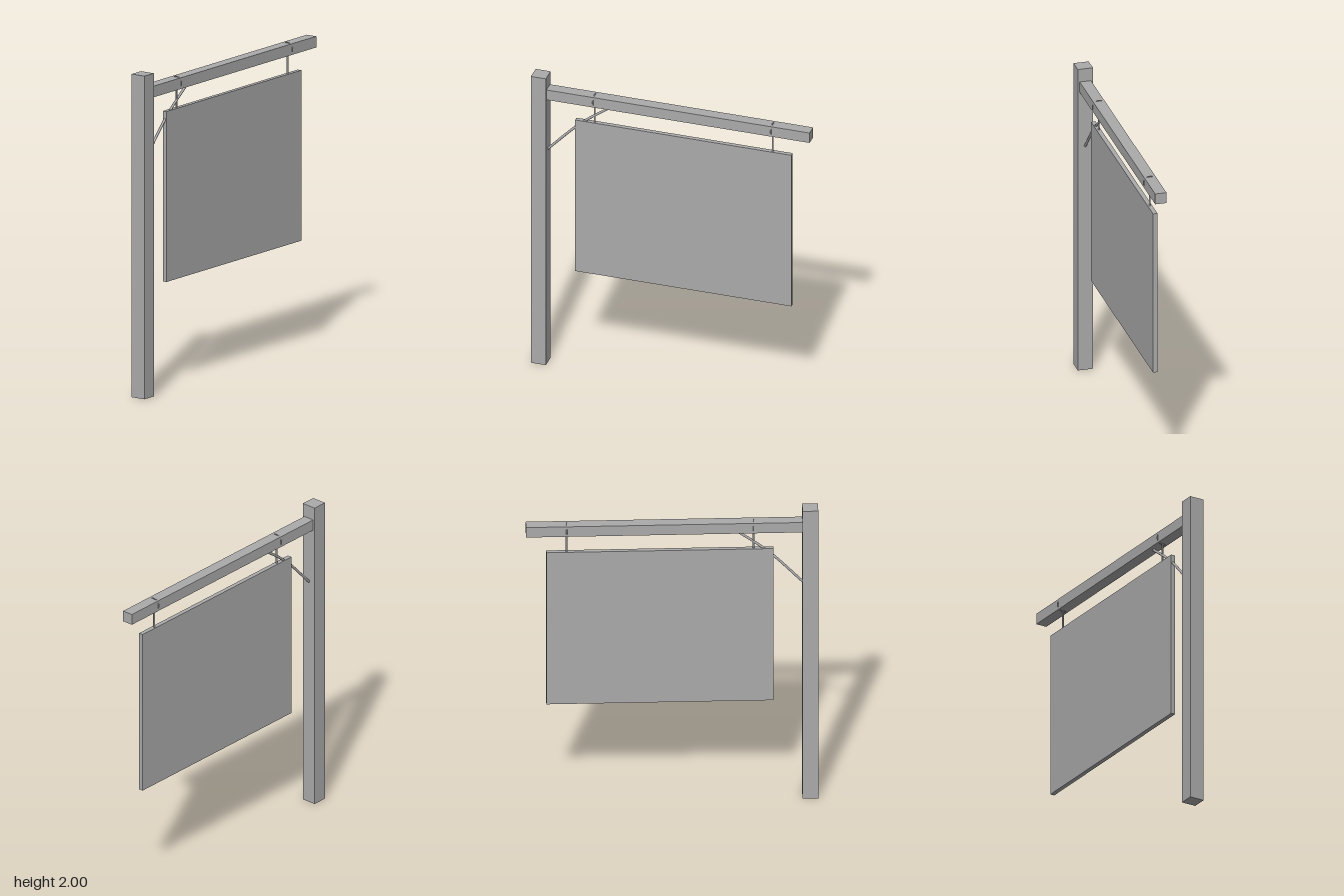
import * as THREE from 'three';

export function createModel() {
  const group = new THREE.Group();
  const grey = new THREE.MeshStandardMaterial({ color: 0xaaaaaa });
  grey.name = 'grey';

  const add = (name, geometry, x, y, z = 0) => {
    const mesh = new THREE.Mesh(geometry, grey);
    mesh.name = name;
    mesh.position.set(x, y, z);
    group.add(mesh);
    return mesh;
  };

  // box given by its x and y limits, centred on z = 0
  const addBox = (name, x0, x1, y0, y1, depth) =>
    add(name, new THREE.BoxGeometry(x1 - x0, y1 - y0, depth), (x0 + x1) / 2, (y0 + y1) / 2);

  addBox('post', -0.883, -0.788, 0, 2, 0.095);
  addBox('beam', -0.788, 0.88, 1.847, 1.916, 0.071);
  addBox('signBoard', -0.613, 0.757, 0.671, 1.726, 0.028);

  // rings around the beam with rods down to the board
  for (const x of [-0.493, 0.635]) {
    add('hangerRing', new THREE.TorusGeometry(0.038, 0.004, 6, 16), x, 1.881).rotation.y = Math.PI / 2;
    add('hangerRod', new THREE.CylinderGeometry(0.006, 0.006, 0.13, 8), x, 1.785);
  }

  // slightly bowed brace between post and beam
  const curve = new THREE.CatmullRomCurve3([
    new THREE.Vector3(-0.79, 1.487, 0),
    new THREE.Vector3(-0.58, 1.703, 0),
    new THREE.Vector3(-0.388, 1.85, 0),
  ]);
  add('brace', new THREE.TubeGeometry(curve, 10, 0.008, 8), 0, 0);

  return group;
}
